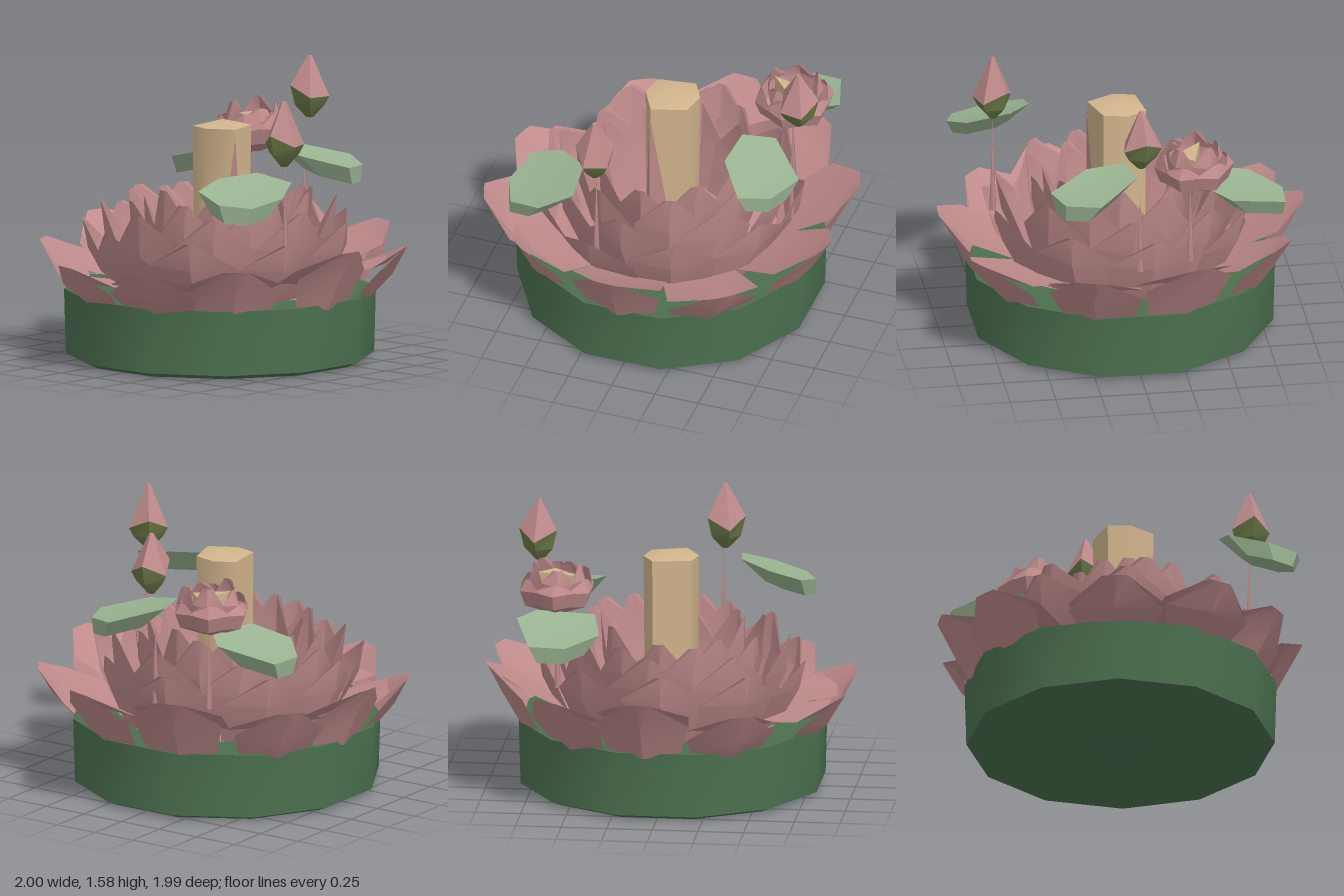
import * as THREE from 'three';
import { toCreasedNormals } from 'three/addons/utils/BufferGeometryUtils.js';

const flat = (name, color, side = THREE.FrontSide) => {
  const m = new THREE.MeshStandardMaterial({ color, side });
  m.name = name;
  return m;
};

export function createModel() {
  const pink = flat('petal pink', 0xc08b8c, THREE.DoubleSide);
  const green = flat('base green', 0x4b704f);
  const sage = flat('leaf sage', 0x9ab492);
  const olive = flat('bud olive', 0x6c7b48);
  const tan = flat('centre tan', 0xd2b58d);

  const root = new THREE.Group();
  root.name = 'lotusArrangement';

  let seed = 7;
  const jitter = (a) => {
    seed = (seed * 16807) % 2147483647;
    return (seed / 2147483647 - 0.5) * 2 * a;
  };

  const add = (parent, name, geo, mat) => {
    const mesh = new THREE.Mesh(geo, mat);
    mesh.name = name;
    parent.add(mesh);
    return mesh;
  };

  const build = (pos, idx, crease) => {
    const g = new THREE.BufferGeometry();
    g.setAttribute('position', new THREE.Float32BufferAttribute(pos.flat(), 3));
    g.setIndex(idx);
    return toCreasedNormals(g, crease);
  };

  // Solid through rings of points, listed bottom to top, turning from +x to +z
  const loft = (rings, crease = 0.5, capBottom = true, capTop = true, topRise = 0) => {
    const n = rings[0].length, pos = rings.flat(), idx = [];
    const centre = (ring) => [0, 1, 2].map((k) => ring.reduce((s, p) => s + p[k], 0) / n);
    for (let r = 0; r < rings.length - 1; r++) {
      for (let i = 0; i < n; i++) {
        const a = r * n + i, b = r * n + ((i + 1) % n);
        idx.push(a, a + n, b, b, a + n, b + n);
      }
    }
    const last = (rings.length - 1) * n;
    const cb = pos.length, ct = cb + 1;
    const top = centre(rings[rings.length - 1]);
    top[1] += topRise;
    pos.push(centre(rings[0]), top);
    for (let i = 0; i < n; i++) {
      const j = (i + 1) % n;
      if (capBottom) idx.push(cb, i, j);
      if (capTop) idx.push(ct, last + j, last + i);
    }
    return build(pos, idx, crease);
  };

  const circle = (n, r, y, turn = 0, wave = 0) => Array.from({ length: n }, (_, i) => {
    const a = turn + (i / n) * Math.PI * 2;
    return [Math.cos(a) * r, y + (i % 2 ? wave : -wave), Math.sin(a) * r];
  });

  // Petal wrapped round the axis; rows are [radius, height, half width, keel depth]
  const petal = (angle, rows) => {
    const pos = [], idx = [];
    rows.forEach(([r, y, w, keel]) => [-1, 0, 1].forEach((u) => {
      const a = angle + (u * w) / r;
      const rr = r + (u === 0 ? keel : 0);
      pos.push([Math.cos(a) * rr, y - (u === 0 ? keel * 0.5 : 0), Math.sin(a) * rr]);
    }));
    for (let k = 0; k < rows.length - 1; k++) {
      for (let c = 0; c < 2; c++) {
        const a = k * 3 + c;
        idx.push(a, a + 3, a + 1, a + 1, a + 3, a + 4);
      }
    }
    return build(pos, idx, 0.4);
  };

  // Base drum
  const turn = Math.PI / 12;
  add(root, 'baseDrum', loft([
    circle(12, 0.78, 0.005, turn), circle(12, 0.84, 0.03, turn), circle(12, 0.85, 0.385, turn),
  ], 0.6), green);

  // Outer petals, folded at the tip into an upper face: [angle in degrees, tip radius, tip height]
  const outer = new THREE.Group();
  outer.name = 'outerPetals';
  root.add(outer);
  [[2, 1.0, 0.69], [-34, 1.03, 0.64], [-73, 1.03, 0.68], [-107, 1.03, 0.72], [-144, 1.02, 0.66],
    [-175, 1.0, 0.7], [152, 1.0, 0.62], [106, 0.99, 0.58], [72, 1.02, 0.6], [42, 0.97, 0.62],
  ].forEach(([deg, r, y]) => add(outer, 'outerPetal', petal(deg * Math.PI / 180, [
    [0.8, 0.37, 0.2, 0.03], [r - 0.11, y - 0.14, 0.26, 0.03], [r, y, 0.07, 0],
    [r - 0.12, y - 0.09, 0.26, 0.01], [0.58, 0.45, 0.2, 0],
  ]), pink));

  // Upright inner rings: [name, count, offset, base radius, tip radius, tip height, half width]
  [['middlePetals', 9, 0.35, 0.58, 0.74, 0.76, 0.25],
    ['upperPetals', 8, 0.06, 0.5, 0.66, 0.87, 0.24],
    ['innerPetals', 8, 0.45, 0.4, 0.53, 0.91, 0.2],
    ['heartPetals', 8, 0.1, 0.3, 0.42, 0.93, 0.18],
  ].forEach(([name, n, offset, r0, r1, tip, w]) => {
    const ring = new THREE.Group();
    ring.name = name;
    root.add(ring);
    for (let i = 0; i < n; i++) {
      const y = tip + jitter(0.04), r = r1 + jitter(0.025), h = y - 0.39;
      add(ring, 'petal', petal(offset + (i / n) * Math.PI * 2 + jitter(0.06), [
        [r0, 0.39, w * 0.85, 0.02], [r0 + (r - r0) * 0.65, 0.39 + h * 0.6, w, 0.03],
        [r, y, 0.03, 0],
      ]), pink);
    }
  });

  // Flower floor, with the green showing through on one side
  add(root, 'flowerFloor', loft([circle(10, 0.62, 0.38), circle(10, 0.42, 0.43)]), pink);
  add(root, 'floorGap', build([
    [0.06, 0.436, 0.06], [0.17, 0.436, 0.05], [0.33, 0.436, 0.12], [0.22, 0.436, 0.2], [0.1, 0.436, 0.33],
  ], [0, 2, 1, 0, 3, 2, 0, 4, 3], 0.1), green);

  // Six-sided centre column
  const plan = [[0.17, 0.06], [0.02, 0.14], [-0.1, 0.11], [-0.13, -0.1], [-0.02, -0.16], [0.11, -0.13]];
  add(root, 'centreColumn', loft([
    plan.map(([x, z]) => [x * 0.95, 0.42, z * 0.95]), plan.map(([x, z]) => [x, 1.28, z]),
  ], 0.9, true, true, 0.035), tan);
  add(root, 'columnShard', build([
    [0.174, 1.23, 0.064], [0.172, 0.45, 0.066], [0.08, 0.45, 0.118], [0.133, 0.45, -0.05],
  ], [0, 2, 1, 0, 1, 3], 0.1), pink);

  // Buds: angular olive cup with a pink point
  const bud = (x, y, z, spin, h) => {
    const g = new THREE.Group();
    g.name = 'bud';
    g.position.set(x, y, z);
    root.add(g);
    const seam = circle(5, 0.112, 0.15, spin, 0.03);
    add(g, 'budCup', loft([circle(5, 0.02, 0, spin), circle(5, 0.085, 0.07, spin), seam], 0.4, true, false), olive);
    add(g, 'budPoint', loft([seam, circle(5, 0.012, h, spin)], 0.4, false), pink);
  };
  bud(0.67, 1.15, 0.21, 0.3, 0.36);
  bud(-0.01, 1.24, -0.73, 0.8, 0.34);

  // Small half-open flower
  const bloom = new THREE.Group();
  bloom.name = 'smallFlower';
  bloom.position.set(-0.32, 1.04, -0.6);
  root.add(bloom);
  [[6, 0, 1, 0.21], [5, 0.5, 0.72, 0.27]].forEach(([n, offset, s, tip]) => {
    for (let i = 0; i < n; i++) {
      add(bloom, 'smallPetal', petal(offset + (i / n) * Math.PI * 2, [
        [0.05 * s, 0, 0.03 * s, 0.005], [0.17 * s, 0.06, 0.12 * s, 0.02],
        [0.2 * s, tip * 0.68, 0.13 * s, 0.02], [0.18 * s, tip + jitter(0.025), 0.04 * s, 0],
      ]), pink);
    }
  });
  add(bloom, 'smallFlowerBase', loft([circle(6, 0.05, 0), circle(6, 0.15, 0.06)]), pink);
  add(bloom, 'smallFlowerCentre', loft([
    [[0.11, 0.06, -0.02], [-0.05, 0.06, 0.13], [0.01, 0.06, -0.11]],
    [[0.11, 0.21, -0.02], [-0.05, 0.21, 0.13], [0.01, 0.21, -0.11]],
  ]), tan);

  // Floating leaves: a tilted rim, wedge-shaped underneath, with the belly shifted by (dx, dz)
  const leaf = (outline, height, dx, dz) => {
    const n = outline.length;
    const cx = outline.reduce((s, p) => s + p[0], 0) / n;
    const cz = outline.reduce((s, p) => s + p[1], 0) / n;
    const rim = outline.map(([x, z]) => [x, height(x, z), z]);
    const belly = outline.map(([x, z]) => {
      const px = cx + (x - cx) * 0.66 + dx, pz = cz + (z - cz) * 0.66 + dz;
      return [px, height(px, pz) - 0.095, pz];
    });
    add(root, 'leaf', loft([belly, rim], 0.4, true, true, -0.02), sage);
  };
  leaf([[-0.43, -0.38], [-0.66, -0.33], [-0.82, -0.5], [-0.81, -0.7], [-0.5, -0.8], [-0.4, -0.7]],
    (x) => 1.01 + 0.24 * (x + 0.62), -0.06, 0);
  leaf([[0.46, -0.54], [0.24, -0.39], [0.03, -0.42], [-0.01, -0.6], [0.22, -0.81], [0.4, -0.71]],
    (x, z) => 1.07 - 0.2 * (x - 0.23) + 0.1 * (z + 0.6), 0.06, -0.03);
  leaf([[0.89, 0.46], [0.83, 0.64], [0.65, 0.71], [0.44, 0.65], [0.43, 0.48], [0.56, 0.31], [0.8, 0.29]],
    (x, z) => 1.05 - 0.28 * (z - 0.5) - 0.15 * (x - 0.65), 0.03, 0.06);

  // Thin tapering stems
  [[0.67, 0.2, 0.6, 1.15], [-0.3, -0.6, 0.6, 1.05], [-0.01, -0.69, 0.6, 1.05]].forEach(([x, z, y0, y1]) => {
    const stem = add(root, 'stem', new THREE.ConeGeometry(0.02, y1 - y0, 5), pink);
    stem.position.set(x, (y0 + y1) / 2, z);
  });

  return root;
}
